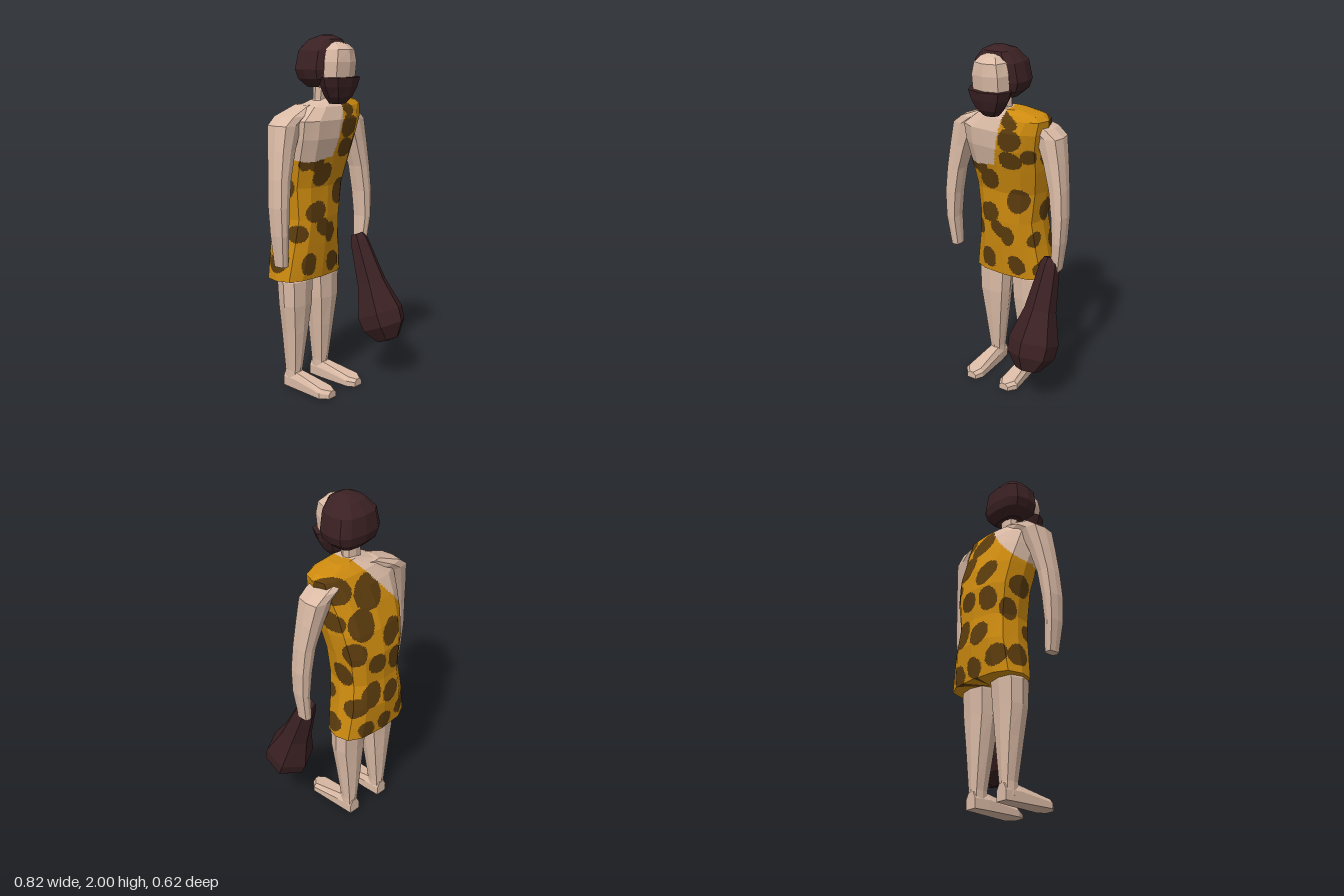
import * as THREE from 'three';

const mat = (name, color) => {
  const m = new THREE.MeshStandardMaterial({ color });
  m.name = name;
  return m;
};

// Closed ring in the xz plane from its extents; a power under 1 makes it boxier
function section(y, x0, x1, zf, zb, sides, power) {
  const bend = v => Math.sign(v) * Math.pow(Math.abs(v), power);
  return Array.from({ length: sides }, (_, k) => {
    const a = (k / sides) * Math.PI * 2;
    return new THREE.Vector3(
      (x0 + x1) / 2 + bend(Math.sin(a)) * (x1 - x0) / 2, y,
      (zf + zb) / 2 + bend(Math.cos(a)) * (zf - zb) / 2);
  });
}

// Faceted skin over rings with both ends capped; pick() sorts faces into material groups
function loft(rings, pick = () => 0, count = 1) {
  const buckets = Array.from({ length: count }, () => []);
  const tri = (a, b, c) => {
    const mid = a.clone().add(b).add(c).divideScalar(3);
    const out = buckets[pick(mid)];
    for (const p of [a, b, c]) out.push(p.x, p.y, p.z);
  };
  const n = rings[0].length;
  const centre = r => r.reduce((s, p) => s.add(p), new THREE.Vector3()).divideScalar(n);
  const first = rings[0], last = rings[rings.length - 1];
  const c0 = centre(first), c1 = centre(last);
  for (let k = 0; k < n; k++) {
    const j = (k + 1) % n;
    for (let i = 0; i + 1 < rings.length; i++) {
      tri(rings[i][k], rings[i][j], rings[i + 1][j]);
      tri(rings[i][k], rings[i + 1][j], rings[i + 1][k]);
    }
    tri(c0, first[j], first[k]);
    tri(c1, last[k], last[j]);
  }
  const g = new THREE.BufferGeometry();
  g.setAttribute('position', new THREE.Float32BufferAttribute(buckets.flat(), 3));
  let start = 0;
  if (count > 1) buckets.forEach((b, i) => {
    g.addGroup(start, b.length / 3, i);
    start += b.length / 3;
  });
  g.computeVertexNormals();
  return g;
}

// Subdivide rings without changing their facets, so colour borders can be cut finely
function refine(rings, across, step) {
  const wide = rings.map(r => r.flatMap((p, k) =>
    Array.from({ length: across }, (_, s) => p.clone().lerp(r[(k + 1) % r.length], s / across))));
  const out = [];
  for (let i = 0; i + 1 < wide.length; i++) {
    const rows = Math.ceil(wide[i][0].distanceTo(wide[i + 1][0]) / step);
    for (let s = 0; s < rows; s++) out.push(wide[i].map((p, k) => p.clone().lerp(wide[i + 1][k], s / rows)));
  }
  out.push(wide[wide.length - 1]);
  return out;
}

// Height on a polyline of [x, y] points
function heightAt(line, x) {
  if (x <= line[0][0]) return line[0][1];
  for (let i = 1; i < line.length; i++) {
    const [xa, ya] = line[i - 1], [xb, yb] = line[i];
    if (x <= xb) return ya + (yb - ya) * (x - xa) / (xb - xa);
  }
  return Infinity;
}

const frontNeckline = [[-0.25, 1.34], [-0.19, 1.325], [-0.035, 1.35], [0.01, 1.55], [0.035, 1.67]];
const backNeckline = [[-0.25, 1.34], [-0.11, 1.5], [0.02, 1.67]];

// Spots: degrees around the body from the front, height, radius
const spots = [
  [34, 1.51, 0.065], [31, 1.39, 0.06], [40, 1.62, 0.05], [60, 1.42, 0.04], [-18, 1.25, 0.068],
  [-35, 1.31, 0.045], [-56, 1.315, 0.035], [36, 1.14, 0.07], [-25, 1.04, 0.066], [-8, 0.95, 0.055],
  [14, 0.91, 0.055], [65, 0.9, 0.045], [-60, 0.92, 0.055], [32, 0.73, 0.06], [-38, 0.74, 0.06],
  [80, 0.72, 0.06], [98, 1.4, 0.065], [94, 1.06, 0.068], [121, 1.21, 0.068], [120, 0.86, 0.065],
  [-87, 1.18, 0.068], [-105, 1.03, 0.06], [-92, 0.76, 0.065], [168, 1.52, 0.1], [112, 1.57, 0.07],
  [142, 1.37, 0.08], [-157, 1.27, 0.075], [162, 1.12, 0.068], [-145, 1.1, 0.07], [148, 0.93, 0.075],
  [-163, 0.9, 0.07], [-176, 0.71, 0.065], [139, 0.7, 0.055], [-128, 0.75, 0.06]];

// 0 skin, 1 hide, 2 spot
function clothing(p) {
  if (p.y > heightAt(p.z > -0.04 ? frontNeckline : backNeckline, p.x)) return 0;
  const axisZ = -0.15 + Math.max(0, p.y - 1.15) * 0.27;
  const around = Math.atan2(p.x + 0.03, p.z - axisZ);
  const hit = spots.some(([deg, y, r], i) => {
    const turn = around - THREE.MathUtils.degToRad(deg);
    const dx = Math.atan2(Math.sin(turn), Math.cos(turn)) * 0.19, dy = p.y - y;
    return Math.hypot(dx, dy) < r * (1 + 0.1 * Math.sin(2 * Math.atan2(dy, dx) + i * 1.7));
  });
  return hit ? 2 : 1;
}

export function createModel() {
  const skin = mat('skin', 0xdbbba6);
  const hide = mat('hide', 0xce8b0f);
  const spot = mat('hideSpots', 0x5c3c0d);
  const dark = mat('darkBrown', 0x3b2123);
  const model = new THREE.Group();
  model.name = 'figure';
  const add = (name, geometry, material) => {
    const m = new THREE.Mesh(geometry, material);
    m.name = name;
    model.add(m);
    return m;
  };

  // Hunched torso wearing a one-shouldered hide: y, x range, front z, back z
  const torso = [
    [0.65, -0.27, 0.215, -0.025, -0.288], [0.85, -0.235, 0.18, 0, -0.305],
    [1, -0.215, 0.16, 0.015, -0.288], [1.18, -0.235, 0.185, 0.02, -0.29],
    [1.32, -0.252, 0.21, 0.055, -0.265], [1.45, -0.265, 0.222, 0.09, -0.22],
    [1.55, -0.27, 0.243, 0.1, -0.178], [1.62, -0.18, 0.25, 0.08, -0.14],
    [1.645, -0.1, 0.22, 0.06, -0.11], [1.667, -0.04, 0.11, 0.04, -0.08],
  ].map(s => section(...s, 12, 0.72));
  add('torsoAndHide', loft(refine(torso, 12, 0.009), clothing, 3), [skin, hide, spot]);

  // Limbs: y, inner x, outer x, front z, back z, with x measured from the body's middle
  const armRows = [
    [0.775, 0.315, 0.365, 0.01, -0.065], [0.95, 0.325, 0.387, 0.028, -0.075],
    [1.1, 0.315, 0.393, 0.028, -0.085], [1.25, 0.293, 0.382, 0.022, -0.095],
    [1.4, 0.25, 0.362, 0.018, -0.118], [1.53, 0.2, 0.34, 0.018, -0.14],
    [1.575, 0.13, 0.285, 0.02, -0.145], [1.63, 0.05, 0.14, 0, -0.12]];
  const legRows = [
    [0.03, 0.075, 0.157, -0.09, -0.187], [0.1, 0.075, 0.155, -0.09, -0.185],
    [0.33, 0.045, 0.182, -0.063, -0.195], [0.5, 0.022, 0.207, -0.047, -0.2],
    [0.64, 0.012, 0.212, -0.045, -0.208], [0.7, 0.02, 0.18, -0.07, -0.208]];
  // Feet: z, inner x, outer x, height
  const footRows = [
    [-0.187, 0.08, 0.15, 0.09], [-0.09, 0.07, 0.16, 0.092],
    [0.11, 0.062, 0.18, 0.052], [0.155, 0.085, 0.145, 0.042]];

  for (const [side, s] of [['left', 1], ['right', -1]]) {
    const span = (mid, a, b) => [mid + s * a, mid + s * b].sort((p, q) => p - q);
    const limb = (rows, mid, power) => loft(rows.map(([y, a, b, zf, zb]) =>
      section(y, ...span(mid, a, b), zf, zb, 8, power)));
    add(side + 'Arm', limb(armRows, -0.018, 0.5), skin);
    add(side + 'Leg', limb(legRows, -0.03, 0.7), skin);
    add(side + 'Foot', loft(footRows.map(([z, a, b, h]) => {
      const [x0, x1] = span(-0.03, a, b);
      return [[x0, 0], [x1, 0], [x1, h * 0.6], [x1 - 0.018, h], [x0 + 0.018, h], [x0, h * 0.6]]
        .map(([x, y]) => new THREE.Vector3(x, y, z));
    })), skin);
  }

  // Head: y, half width, front z, back z
  const headPart = (rows, sides, power) => loft(rows.map(([y, w, zf, zb]) =>
    section(y, -0.03 - w, -0.03 + w, zf, zb, sides, power)));
  add('neck', headPart([[1.58, 0.07, 0.03, -0.075], [1.66, 0.055, 0.015, -0.06],
    [1.78, 0.055, 0.03, -0.06]], 8, 0.85), skin);
  add('face', headPart([[1.72, 0.09, 0.15, 0], [1.78, 0.104, 0.168, 0], [1.86, 0.106, 0.178, 0],
    [1.925, 0.09, 0.172, 0], [1.955, 0.06, 0.14, 0], [1.965, 0.03, 0.1, 0]], 8, 0.8), skin);
  add('hair', headPart([[1.725, 0.085, 0.035, -0.08], [1.77, 0.14, 0.098, -0.125],
    [1.82, 0.157, 0.107, -0.137], [1.92, 0.136, 0.107, -0.125],
    [1.977, 0.085, 0.09, -0.075], [2, 0.03, 0.045, -0.01]], 12, 0.72), dark);
  add('beard', headPart([[1.638, 0.045, 0.13, 0.05], [1.675, 0.08, 0.165, 0.03],
    [1.73, 0.112, 0.185, 0.015], [1.78, 0.128, 0.196, 0.01]], 8, 0.9), dark);

  // Six-sided club held at the left hand
  const profile = [[0, 0.655], [0.07, 0.645], [0.135, 0.56], [0.142, 0.48], [0.09, 0.3],
    [0.056, 0.04], [0.04, 0], [0, 0]].map(([r, t]) => new THREE.Vector2(r, -t));
  const clubShape = new THREE.LatheGeometry(profile, 6).toNonIndexed();
  clubShape.computeVertexNormals();
  const club = add('club', clubShape, dark);
  club.position.set(0.29, 0.845, -0.02);
  club.rotation.x = THREE.MathUtils.degToRad(-21.5);

  return model;
}
